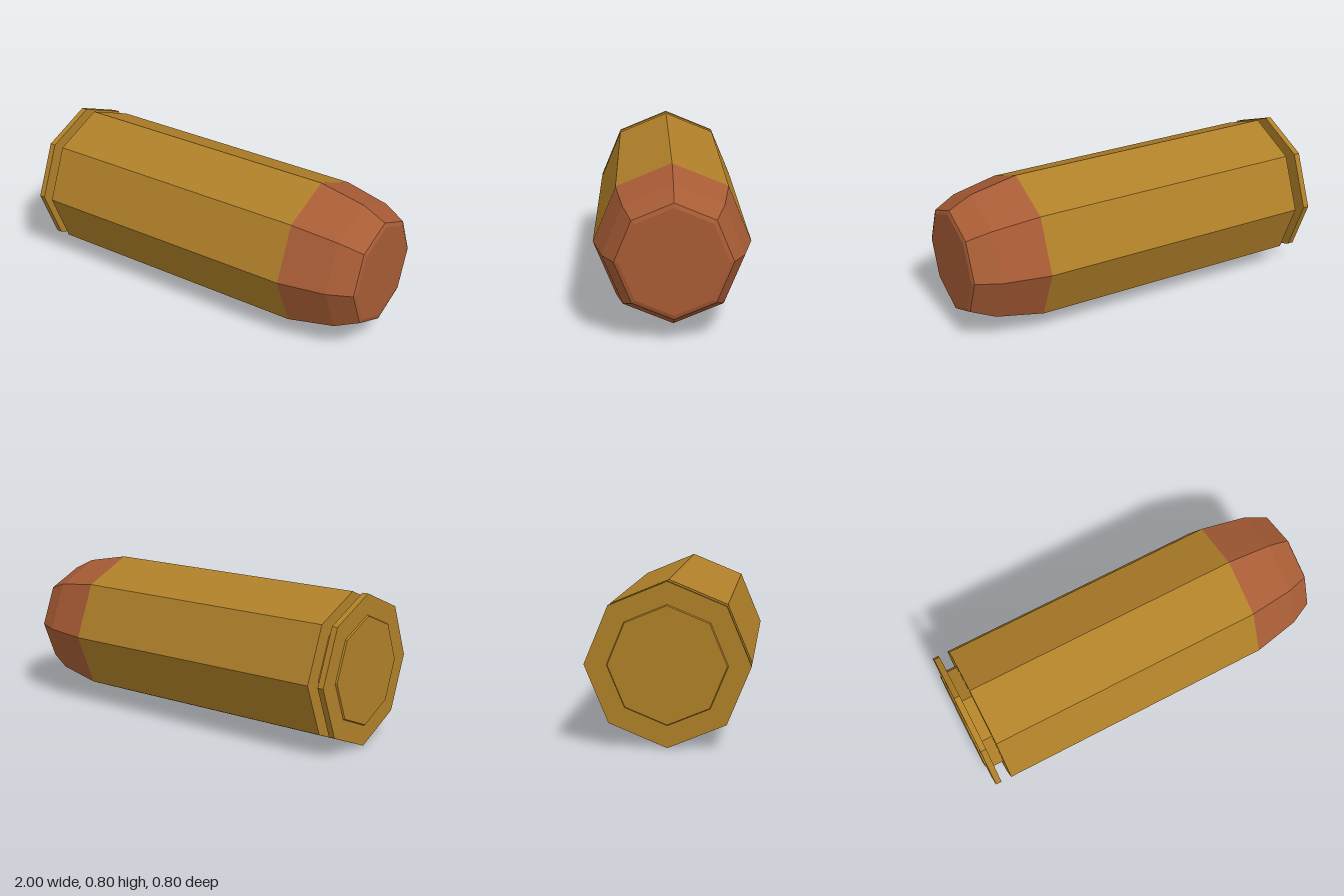
import * as THREE from 'three';

const SIDES = 8;
const R = 0.399;

// Eight-sided solid of revolution along x, from [x, radius] pairs running left to right
function turned(name, color, profile) {
  const points = profile.map(([x, r]) => new THREE.Vector2(r, x));
  const geometry = new THREE.LatheGeometry(points, SIDES);
  geometry.rotateZ(-Math.PI / 2);
  const material = new THREE.MeshStandardMaterial({ color, flatShading: true });
  const mesh = new THREE.Mesh(geometry, material);
  mesh.name = name;
  mesh.position.y = R;
  return mesh;
}

export function createModel() {
  const group = new THREE.Group();
  group.name = 'cartridge';

  // Brass case: raised base disc, rim, extraction groove and straight wall
  group.add(turned('case', 0xb08029, [
    [-1, 0], [-1, 0.285], [-0.992, 0.29], [-0.992, R],
    [-0.96, R], [-0.96, 0.302], [-0.903, 0.302], [-0.903, R],
    [0.615, R],
  ]));

  // Copper bullet: two tapers and a small bevel around the flat nose
  group.add(turned('bullet', 0xa85c35, [
    [0.615, R], [0.868, 0.348], [0.992, 0.287], [1, 0.265], [1, 0],
  ]));

  return group;
}
